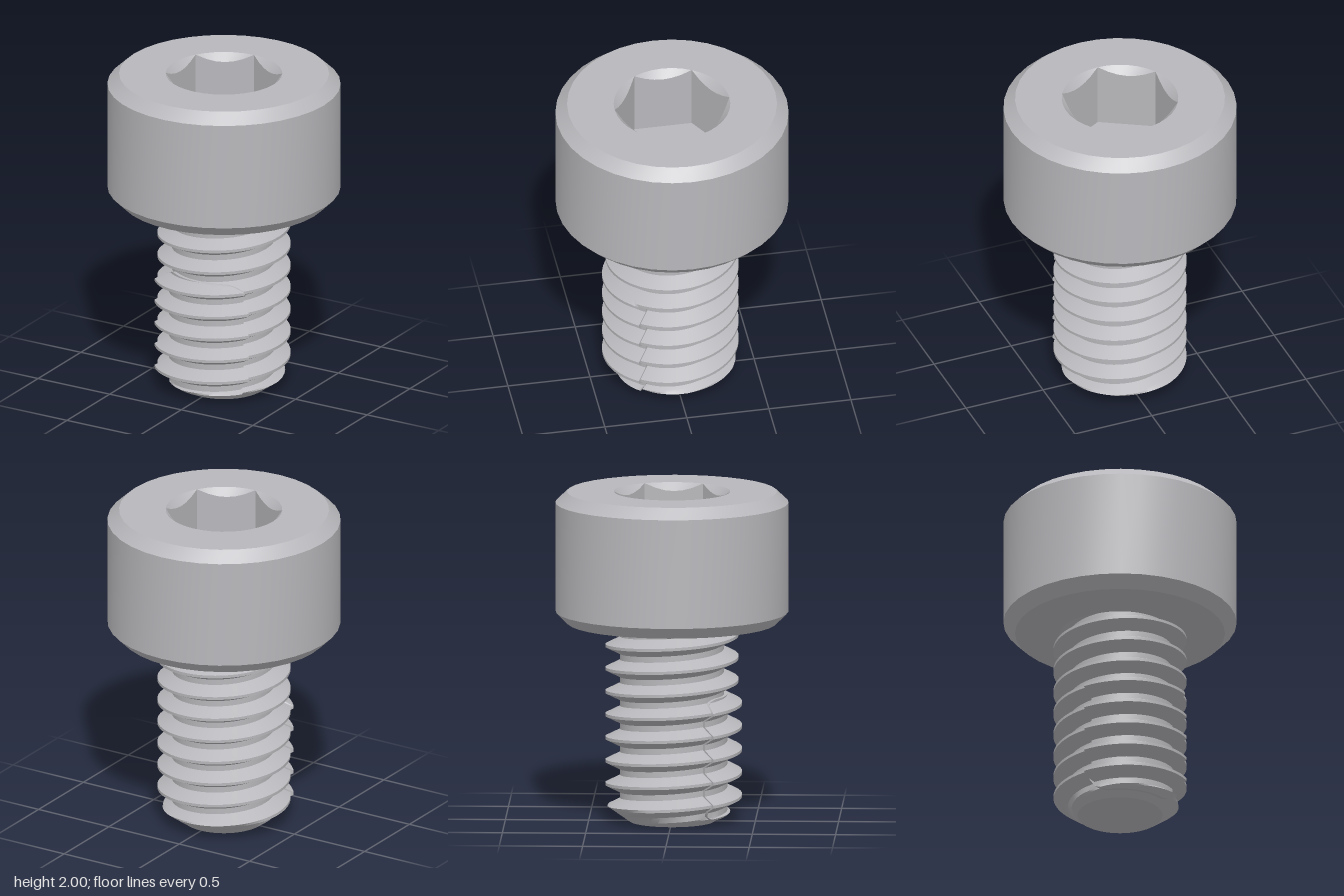
import * as THREE from 'three';
import { toCreasedNormals } from 'three/addons/utils/BufferGeometryUtils.js';

const TAU = Math.PI * 2;
const PITCH = 0.14, CREST = 0.4, ROOT = 0.312, HEAD_BASE = 1.205;
const clamp = THREE.MathUtils.clamp;

// Surface over rows (upward / along the profile) and angles; f(row, col) gives [angle, radius, y]
function sweep(rows, cols, f, crease) {
  const point = (i, j) => {
    const [a, r, y] = f(i, j);
    return new THREE.Vector3(r * Math.sin(a), y, r * Math.cos(a));
  };
  const grid = [];
  for (let i = 0; i < rows; i++) {
    grid.push([]);
    for (let j = 0; j <= cols; j++) grid[i].push(point(i, j));
  }
  const pos = [];
  const tri = (a, b, c) => {
    const area = b.clone().sub(a).cross(c.clone().sub(a)).length();
    if (area > 1e-9) for (const p of [a, b, c]) pos.push(p.x, p.y, p.z);
  };
  for (let i = 0; i < rows - 1; i++) {
    for (let j = 0; j < cols; j++) {
      const a = grid[i][j], b = grid[i][j + 1], c = grid[i + 1][j + 1], d = grid[i + 1][j];
      tri(a, b, c);
      tri(a, c, d);
    }
  }
  const geometry = new THREE.BufferGeometry();
  geometry.setAttribute('position', new THREE.Float32BufferAttribute(pos, 3));
  return toCreasedNormals(geometry, crease);
}

// Helix phases: flat crest, sloped flank, flat root, sloped flank
const phases = [];
for (let k = -2; k <= 10; k++) {
  for (let s = 0; s <= 5; s++) phases.push(k + 0.0625 + 0.3125 * s / 5);
  for (let s = 0; s <= 5; s++) phases.push(k + 0.625 + 0.3125 * s / 5);
}
const helixY = (phase, a) => 0.015 + PITCH * (phase + a / TAU);

// Thread radius at a height and angle, cut by the chamfer at the tip
function threadRadius(y, a) {
  const phase = (y - 0.015) / PITCH - a / TAU;
  const d = Math.abs(phase - Math.round(phase));
  const r = CREST - (CREST - ROOT) * clamp((d - 0.0625) / 0.3125, 0, 1);
  return Math.min(r, 0.255 + 1.4 * y);
}

function threadGeometry() {
  const cols = 72;
  return sweep(phases.length + 1, cols, (i, j) => {
    const a = -Math.PI + TAU * j / cols;
    if (i === 0) return [a, 0, 0];
    const y = clamp(helixY(phases[i - 1], a), 0, HEAD_BASE);
    return [a, threadRadius(y, a), y];
  }, 0.5);
}

// Raised locking patch that follows the thread, with rounded corners and a stepped border
function patchGeometry() {
  const cols = 30, half = 0.9, rows = phases.length + 2;
  return sweep(rows, cols + 2, (i, j) => {
    const a = -half + 2 * half * clamp(j - 1, 0, cols) / cols;
    const s = clamp((Math.abs(a) - 0.55) / 0.35, 0, 1);
    const inset = 0.07 * (1 - Math.sqrt(1 - s * s));
    const phase = phases[clamp(i - 1, 0, phases.length - 1)];
    const y = clamp(helixY(phase, a), 0.03 + inset, 0.77 - inset);
    const border = i === 0 || i === rows - 1 || j === 0 || j === cols + 2;
    return [a, threadRadius(y, a) + (border ? -0.005 : 0.02), y];
  }, 0.5);
}

// Chamfered head with a countersunk hexagonal socket
function headGeometry() {
  const cols = 36, rim = 0.35, floor = 1.6;
  const hex = (a) => {
    const sector = TAU / 6;
    const local = a - Math.floor(a / sector + 1e-6) * sector - sector / 2;
    return rim * Math.cos(sector / 2) / Math.cos(local);
  };
  const profile = [
    () => [0, HEAD_BASE],
    () => [0.63, HEAD_BASE],
    () => [0.7, 1.275],
    () => [0.7, 1.935],
    () => [0.63, 2],
    () => [rim, 2],
    (a) => [hex(a), 2 - (rim - hex(a))],
    (a) => [hex(a), floor],
    () => [0, floor],
  ];
  return sweep(profile.length, cols, (i, j) => {
    const a = TAU * j / cols;
    return [a, ...profile[i](a)];
  }, 0.5);
}

export function createModel() {
  const steel = new THREE.MeshStandardMaterial({ color: 0xb8b7bb });
  steel.name = 'steel';
  const group = new THREE.Group();
  group.name = 'socketHeadScrew';
  const add = (name, geometry) => {
    const mesh = new THREE.Mesh(geometry, steel);
    mesh.name = name;
    group.add(mesh);
  };
  add('head', headGeometry());
  add('threadedShank', threadGeometry());
  add('lockingPatch', patchGeometry());
  return group;
}
